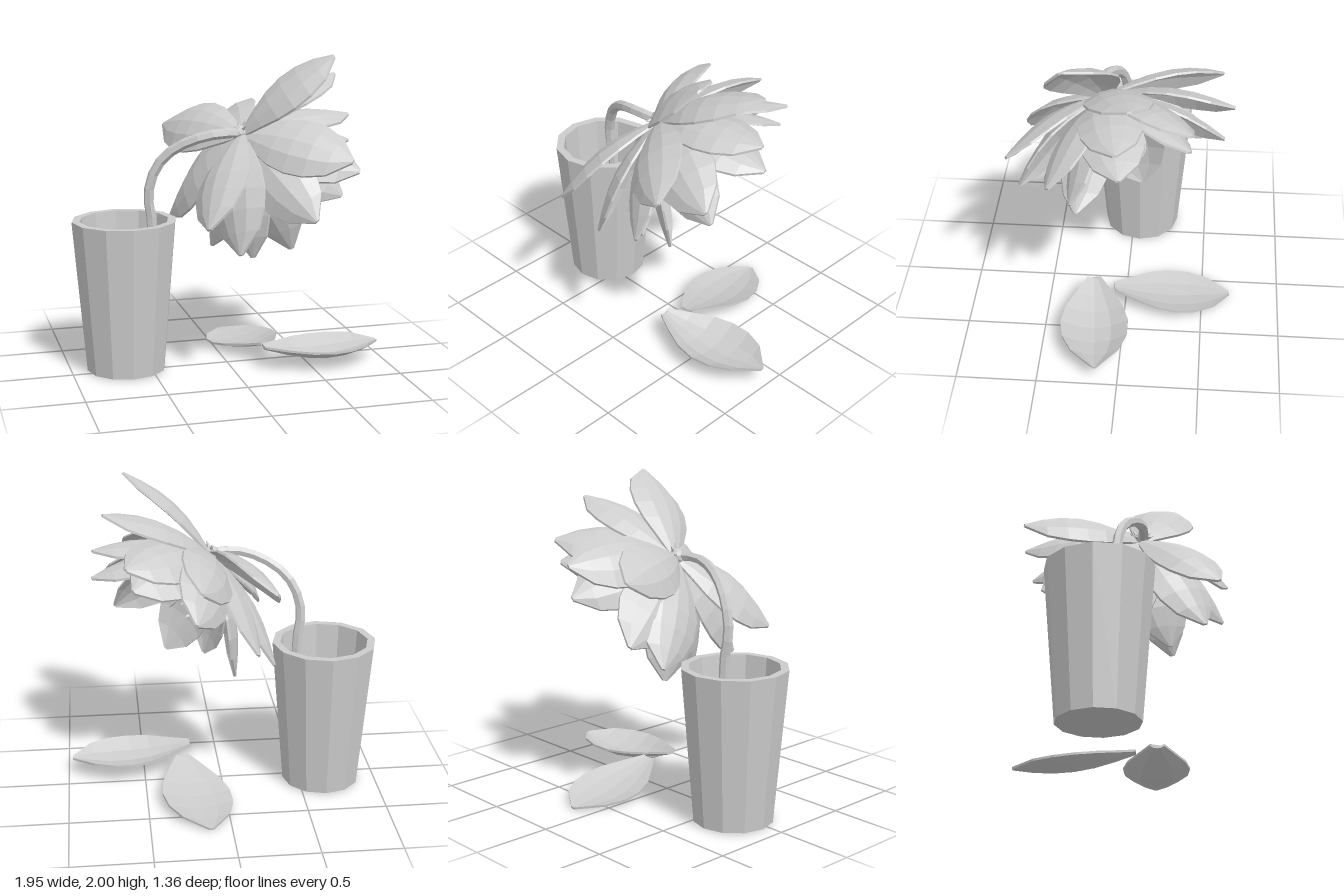
import * as THREE from 'three';

const V = (x, y, z) => new THREE.Vector3(x, y, z);

// Flat facets for the low-poly look
function flat(geo) {
  const g = geo.index ? geo.toNonIndexed() : geo;
  g.computeVertexNormals();
  return g;
}

// Cupped petal lofted from thin curved sections; out is the side its back faces
const HALF_WIDTH = [0.2, 0.55, 0.86, 1, 0.95, 0.69, 0.07];
function petalGeometry(base, tip, out, halfWidth, bulge, cup) {
  const d = tip.clone().sub(base).normalize();
  const o = out.clone().addScaledVector(d, -out.dot(d)).normalize();
  const s = o.clone().cross(d);
  const across = [1, 0.5, 0, -0.5, -1];
  const rows = HALF_WIDTH.length;
  const pos = [];
  const idx = [];
  HALF_WIDTH.forEach((w, i) => {
    const t = i / (rows - 1);
    const mid = base.clone().lerp(tip, t).addScaledVector(o, bulge * Math.sin(Math.PI * t));
    const add = (u, lift) => {
      const p = mid.clone().addScaledVector(s, u * w * halfWidth)
        .addScaledVector(o, lift - cup * u * u * w);
      pos.push(p.x, p.y, p.z);
    };
    across.forEach((u) => add(u, 0.007));
    across.forEach((u) => add(-u, -0.007));
  });
  const n = across.length * 2;
  for (let i = 0; i < rows - 1; i++) {
    for (let j = 0; j < n; j++) {
      const k = (j + 1) % n;
      const a = i * n + j, b = i * n + k, c = b + n, e = a + n;
      idx.push(a, b, c, a, c, e);
    }
  }
  const last = (rows - 1) * n;
  for (let j = 1; j < n - 1; j++) {
    idx.push(0, j + 1, j, last, last + j, last + j + 1);
  }
  const g = new THREE.BufferGeometry();
  g.setAttribute('position', new THREE.Float32BufferAttribute(pos, 3));
  g.setIndex(idx);
  return flat(g);
}

export function createModel() {
  const model = new THREE.Group();
  model.name = 'wiltedFlowerInCup';
  const grey = new THREE.MeshStandardMaterial({ color: 0xcccccc });
  grey.name = 'light grey';

  const add = (parent, geo, name) => {
    const m = new THREE.Mesh(geo, grey);
    m.name = name;
    parent.add(m);
    return m;
  };

  // Twelve-sided tapered cup with a hollow inside
  const cupProfile = [[0, 0.01], [0.25, 0.01], [0.33, 0.975], [0.28, 0.975], [0.215, 0.06], [0, 0.06]]
    .map(([x, y]) => new THREE.Vector2(x, y));
  add(model, flat(new THREE.LatheGeometry(cupProfile, 12)), 'cup').position.set(-0.65, 0, -0.055);

  // Drooping stem
  const stem = new THREE.CatmullRomCurve3([
    V(-0.48, 0.07, 0.02), V(-0.485, 0.6, 0.02), V(-0.49, 0.97, 0.02), V(-0.51, 1.15, 0.03),
    V(-0.46, 1.32, 0.05), V(-0.36, 1.43, 0.09), V(-0.2, 1.505, 0.145), V(-0.08, 1.525, 0.16), V(0.05, 1.52, 0.14),
  ]);
  add(model, flat(new THREE.TubeGeometry(stem, 20, 0.032, 6)), 'stem');

  // Flower head: petals given by their tips, with half widths
  const heart = V(0.05, 1.52, 0.13);
  const axis = V(0.7, -0.69, -0.18).normalize();
  const tips = [
    // outer petals
    [0.58, 2.0, 0.33, 0.215], [0.72, 1.85, -0.06, 0.2], [0.17, 1.54, -0.65, 0.2],
    [-0.28, 1.49, -0.58, 0.2], [-0.3, 0.93, -0.31, 0.2], [-0.06, 0.85, 0.54, 0.2],
    [-0.28, 1.04, 0.64, 0.2], [0.59, 1.41, 0.67, 0.2], [0.6, 1.62, -0.41, 0.2],
    [0.08, 0.77, 0.31, 0.2], [0.38, 1.05, 0.64, 0.2],
    // inner petals
    [0.79, 1.6, 0.02, 0.19], [0.8, 1.43, 0.0, 0.19], [0.73, 1.3, 0.42, 0.2],
    [0.2, 1.33, -0.6, 0.2], [-0.18, 1.07, -0.47, 0.215], [-0.08, 0.77, -0.09, 0.23],
    [0.33, 0.81, 0.31, 0.2], [0.66, 1.13, 0.3, 0.19], [0.56, 1.48, -0.4, 0.2],
  ];
  const flower = new THREE.Group();
  flower.name = 'flowerHead';
  model.add(flower);
  tips.forEach(([x, y, z, w]) => {
    const tip = V(x, y, z);
    const dir = tip.clone().sub(heart).normalize();
    const base = heart.clone().addScaledVector(dir, 0.02);
    add(flower, petalGeometry(base, tip, axis.clone().negate(), w, 0.07, 0.065), 'petal');
  });

  // Centre, built along +y and turned to the flower's axis
  const centre = new THREE.Group();
  centre.name = 'flowerCentre';
  centre.position.copy(heart);
  centre.quaternion.setFromUnitVectors(V(0, 1, 0), axis);
  flower.add(centre);

  // Seed pod
  const podProfile = [[0, 0.02], [0.05, 0.03], [0.09, 0.16], [0.135, 0.27], [0.14, 0.3], [0.12, 0.315], [0, 0.325]]
    .map(([x, y]) => new THREE.Vector2(x, y));
  add(centre, flat(new THREE.LatheGeometry(podProfile, 14)), 'seedPod');

  // Seeds in two rings around one in the middle
  const seedGeo = flat(new THREE.IcosahedronGeometry(0.012, 0));
  [[1, 0, 0.325], [5, 0.055, 0.321], [10, 0.105, 0.317]].forEach(([count, r, y]) => {
    for (let i = 0; i < count; i++) {
      const a = (i / count) * Math.PI * 2;
      add(centre, seedGeo, 'seed').position.set(r * Math.cos(a), y, r * Math.sin(a));
    }
  });

  // Curved stamens around the pod
  const stamenCurve = new THREE.CatmullRomCurve3([
    V(0.05, 0.05, 0), V(0.14, 0.16, 0), V(0.19, 0.28, 0), V(0.19, 0.36, 0), V(0.165, 0.4, 0),
  ]);
  const stamenGeo = flat(new THREE.TubeGeometry(stamenCurve, 8, 0.008, 4));
  for (let i = 0; i < 18; i++) {
    const m = add(centre, stamenGeo, 'stamen');
    m.rotation.y = (i / 18) * Math.PI * 2;
    m.scale.y = 0.92 + 0.12 * Math.sin(i * 2.4);
  }

  // Small knobbly calyx where the stem meets the petals
  add(centre, flat(new THREE.IcosahedronGeometry(0.052, 1)), 'calyx');
  const sepalGeo = flat(new THREE.ConeGeometry(0.018, 0.06, 4));
  for (let i = 0; i < 7; i++) {
    const a = (i / 7) * Math.PI * 2;
    const m = add(centre, sepalGeo, 'sepal');
    const dir = V(Math.cos(a), -0.5, Math.sin(a)).normalize();
    m.position.copy(dir).multiplyScalar(0.06);
    m.quaternion.setFromUnitVectors(V(0, 1, 0), dir);
  }

  // Two petals fallen on the ground, lying on their backs
  add(model, petalGeometry(V(0.19, 0.145, 0.21), V(0.97, 0.115, 0.14), V(0, -1, 0), 0.215, 0.07, 0.075), 'fallenPetalFront');
  add(model, petalGeometry(V(0.25, 0.13, 0.07), V(0.13, 0.015, -0.68), V(0.08, -1, 0), 0.22, 0.045, 0.04), 'fallenPetalBack');

  return model;
}
